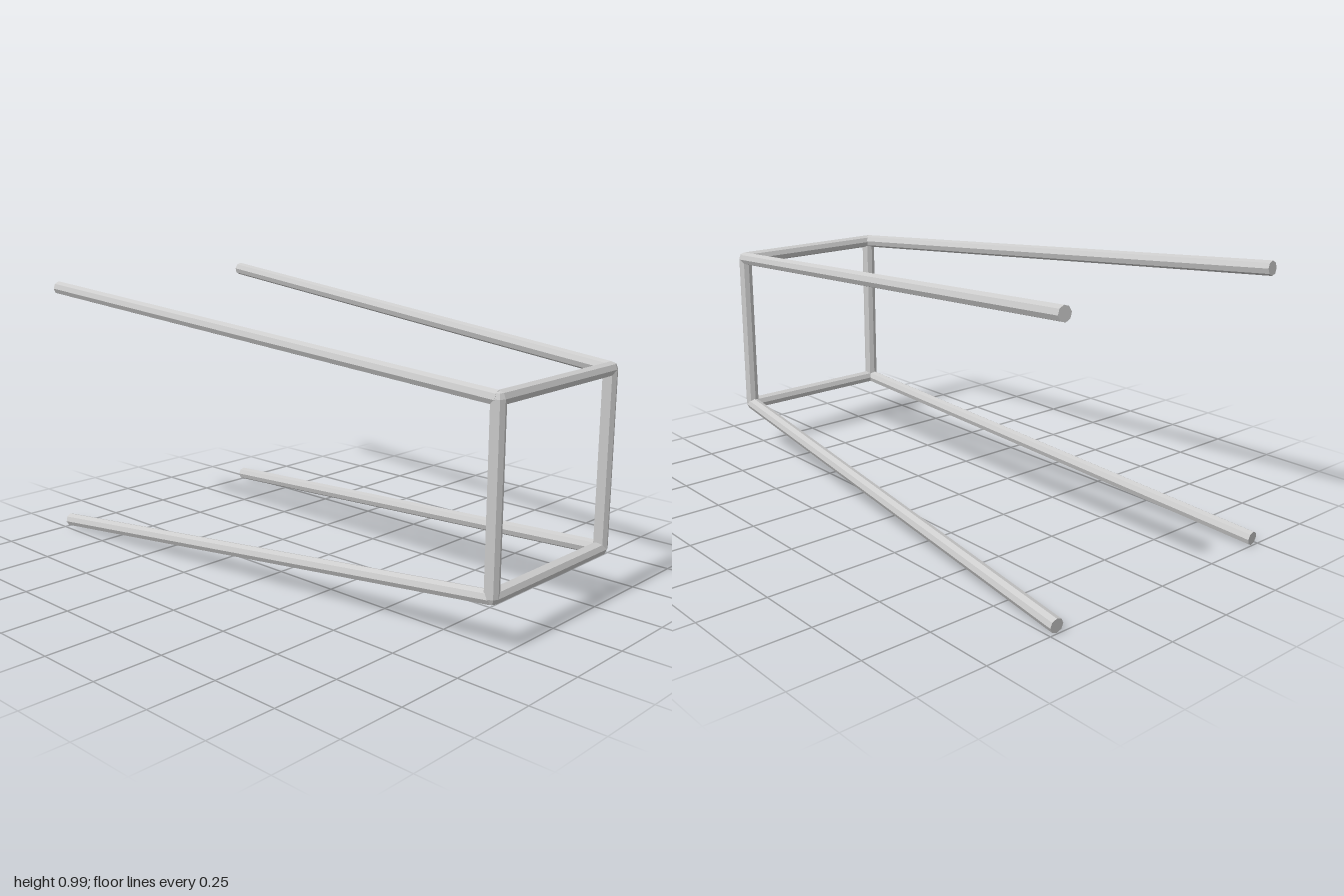
import * as THREE from 'three';

const RADIUS = 0.025;    // bar radius, eight-sided bars
const SIDES = 8;
const MID_Y = 0.497;     // height of the centre line
const FRAME = 0.3075;    // half size of the square frame, bar centre to centre
const FRAME_Z = 0.975;
const END = 0.4715;      // half spread of the legs at the back
const END_Z = -0.997;

// Split the faces so that every facet is flat
function facetedMesh(name, geometry, material) {
  const flat = geometry.toNonIndexed();
  flat.computeVertexNormals();
  const mesh = new THREE.Mesh(flat, material);
  mesh.name = name;
  return mesh;
}

// Straight bar from one point to another
function makeBar(name, from, to, material) {
  const dir = to.clone().sub(from);
  const geometry = new THREE.CylinderGeometry(RADIUS, RADIUS, dir.length(), SIDES);
  const bar = facetedMesh(name, geometry, material);
  bar.position.copy(from).add(to).multiplyScalar(0.5);
  bar.quaternion.setFromUnitVectors(new THREE.Vector3(0, 1, 0), dir.normalize());
  return bar;
}

export function createModel() {
  const group = new THREE.Group();
  group.name = 'flaredFrame';
  const greyMetal = new THREE.MeshStandardMaterial({ color: 0xcccccc });
  greyMetal.name = 'greyMetal';

  const corner = (sx, sy) => new THREE.Vector3(sx * FRAME, MID_Y + sy * FRAME, FRAME_Z);

  // Square front frame
  for (const s of [1, -1]) {
    group.add(
      makeBar(s > 0 ? 'topRail' : 'bottomRail', corner(-1, s), corner(1, s), greyMetal),
      makeBar(s > 0 ? 'leftPost' : 'rightPost', corner(s, -1), corner(s, 1), greyMetal));
  }

  // Corner joints and the four bars spreading out towards the back
  for (const sx of [1, -1]) {
    for (const sy of [1, -1]) {
      const place = (sy > 0 ? 'upper' : 'lower') + (sx > 0 ? 'Left' : 'Right');
      const start = corner(sx, sy);
      const joint = facetedMesh(place + 'Joint',
        new THREE.SphereGeometry(RADIUS, SIDES, SIDES / 2), greyMetal);
      joint.position.copy(start);
      const end = new THREE.Vector3(sx * END, MID_Y + sy * END, END_Z);
      group.add(joint, makeBar(place + 'Bar', start, end, greyMetal));
    }
  }
  return group;
}
